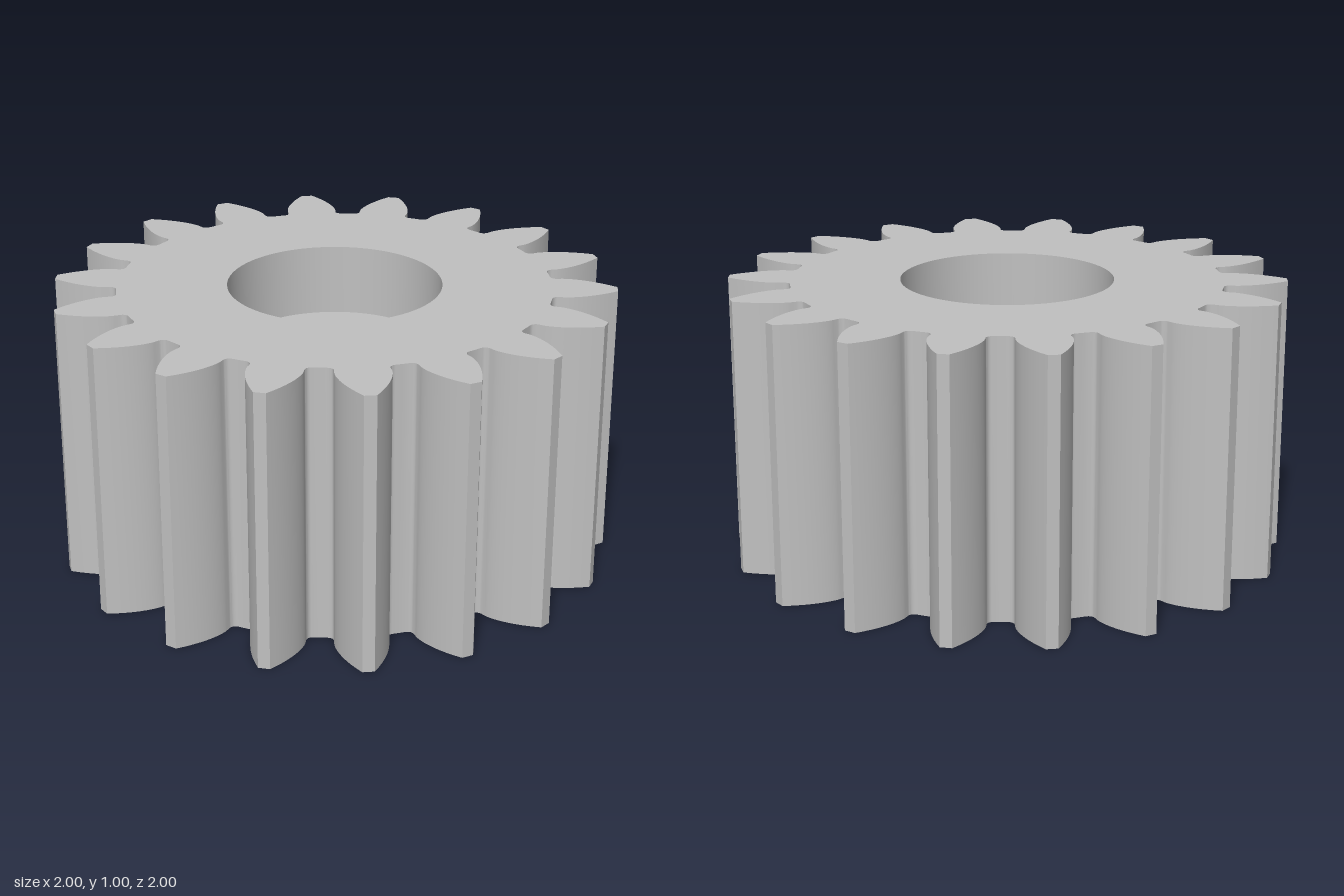
import * as THREE from 'three';
import { toCreasedNormals } from 'three/addons/utils/BufferGeometryUtils.js';

const TEETH = 18;
const PITCH = (Math.PI * 2) / TEETH;
const DEG = Math.PI / 180;
const TIP_R = 1.002, PITCH_R = 0.9, ROOT_R = 0.775;
const BASE_R = PITCH_R * Math.cos(25 * DEG); // involute base circle
const HALF_AT_PITCH = 4.85 * DEG;
const FIRST_TOOTH = (90 - 5.7) * DEG;
const HEIGHT = 1, RECESS_R = 0.383, BORE_R = 0.265, RECESS_DEPTH = 0.26;

// half the angular tooth thickness at radius r
const inv = (a) => Math.tan(a) - a;
const halfAngle = (r) => HALF_AT_PITCH + inv(25 * DEG) - inv(Math.acos(Math.min(1, BASE_R / r)));

// one flank from root to tip as [radius, half angle]
function flankProfile() {
  const pts = [];
  const base = halfAngle(BASE_R);
  const f = 0.022; // root fillet radius
  for (let i = 0; i <= 5; i++) {
    const t = (i / 5) * Math.PI / 2;
    pts.push([ROOT_R + f * (1 - Math.cos(t)), base + (f / ROOT_R) * (1 - Math.sin(t))]);
  }
  for (let i = 0; i <= 9; i++) {
    const r = BASE_R + (TIP_R - BASE_R) * Math.pow(i / 9, 1.3);
    pts.push([r, halfAngle(r)]);
  }
  return pts;
}

function gearShape() {
  const flank = flankProfile();
  const points = [];
  const add = (r, a) => points.push(new THREE.Vector2(r * Math.cos(a), r * Math.sin(a)));
  for (let i = 0; i < TEETH; i++) {
    const mid = FIRST_TOOTH + i * PITCH;
    flank.forEach(([r, h]) => add(r, mid - h));
    [...flank].reverse().forEach(([r, h]) => add(r, mid + h));
    add(ROOT_R, mid + PITCH / 2);
  }
  const shape = new THREE.Shape(points);
  const hole = new THREE.Path();
  hole.absarc(0, 0, RECESS_R, 0, Math.PI * 2, true);
  shape.holes.push(hole);
  return shape;
}

export function createModel() {
  const group = new THREE.Group();
  group.name = 'spurGear';
  const steel = new THREE.MeshStandardMaterial({ color: 0xc0c0c0 });
  steel.name = 'light grey metal';

  // toothed body with the wide recess running through
  const bodyGeo = new THREE.ExtrudeGeometry(gearShape(), { depth: HEIGHT, bevelEnabled: false, curveSegments: 72 });
  bodyGeo.rotateX(-Math.PI / 2);
  const body = new THREE.Mesh(toCreasedNormals(bodyGeo, 0.5), steel);
  body.name = 'toothedBody';
  group.add(body);

  // inner collar: upper ledge, narrow bore, lower ledge
  const top = HEIGHT - RECESS_DEPTH, bottom = RECESS_DEPTH;
  const collarGeo = new THREE.LatheGeometry([
    new THREE.Vector2(RECESS_R, top),
    new THREE.Vector2(BORE_R, top),
    new THREE.Vector2(BORE_R, bottom),
    new THREE.Vector2(RECESS_R, bottom),
  ], 72);
  const collar = new THREE.Mesh(toCreasedNormals(collarGeo, 0.5), steel);
  collar.name = 'boreCollar';
  group.add(collar);

  return group;
}
